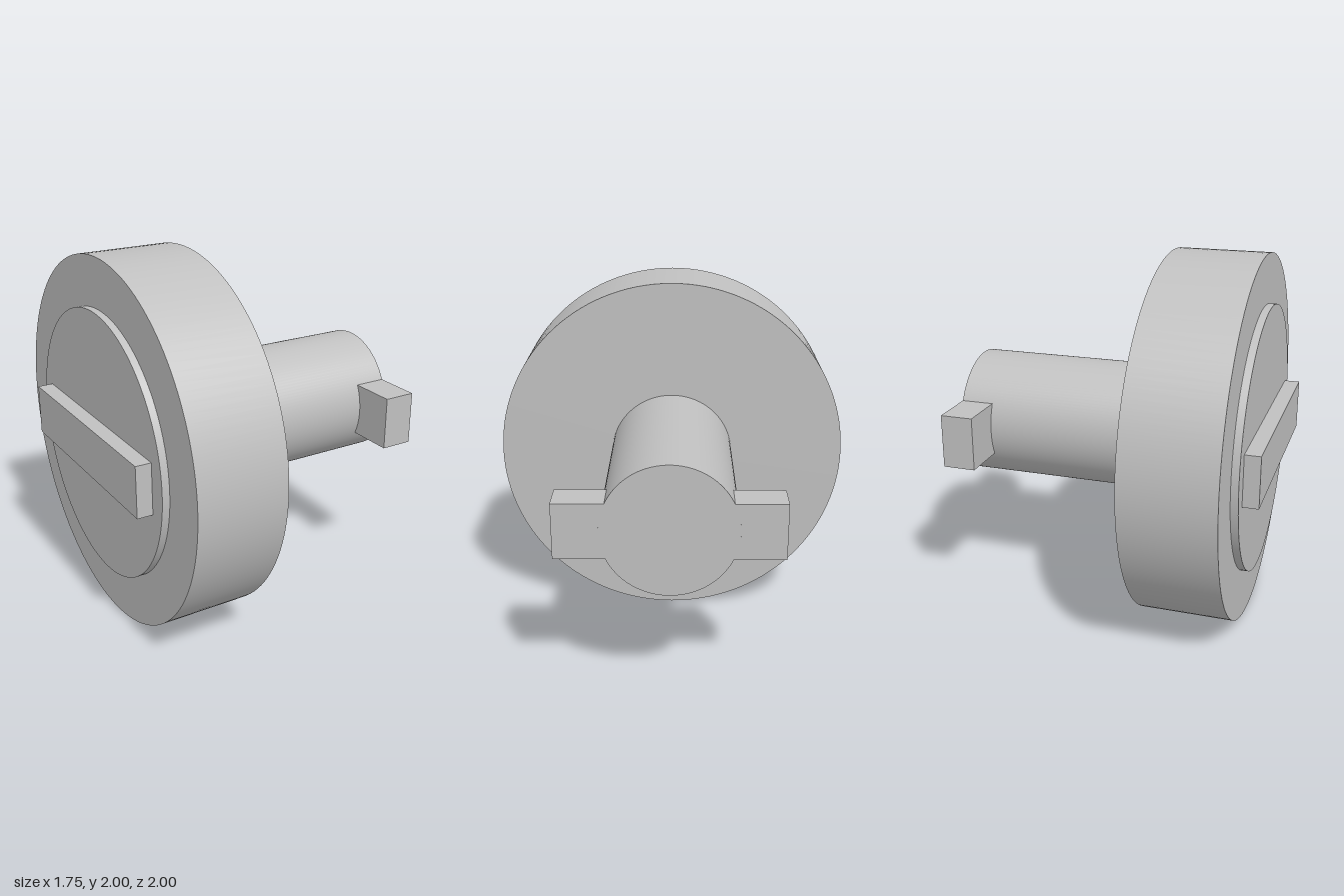
import * as THREE from 'three';

export function createModel() {
  const model = new THREE.Group();
  const metal = new THREE.MeshStandardMaterial({ color: 0xc0c0c0 });
  metal.name = 'light grey metal';

  const add = (name, geometry) => {
    const mesh = new THREE.Mesh(geometry, metal);
    mesh.name = name;
    model.add(mesh);
  };

  // Solid disc lying along the x axis, centred on the shaft line y = 1
  const disc = (name, radius, x0, x1) => add(name,
    new THREE.CylinderGeometry(radius, radius, x1 - x0, 128)
      .rotateZ(-Math.PI / 2)
      .translate((x0 + x1) / 2, 1, 0));

  const shaftRadius = 0.35;
  disc('flange', 1, -0.75, -0.25);
  disc('raisedFace', 0.73, -0.79, -0.75);
  disc('shaft', shaftRadius, -0.25, 0.87);

  // Straight grip bar across the raised face
  add('gripBar', new THREE.BoxGeometry(0.085, 0.28, 1.25).translate(-0.8325, 1, 0));

  // Two lugs at the shaft end, their inner edge curved to fit the shaft
  const half = 0.148, reach = 0.58;
  const angle = Math.asin(half / shaftRadius);
  const outline = new THREE.Shape();
  outline.moveTo(shaftRadius * Math.cos(angle), -half);
  outline.lineTo(reach, -half);
  outline.lineTo(reach, half);
  outline.lineTo(shaftRadius * Math.cos(angle), half);
  outline.absarc(0, 0, shaftRadius, angle, -angle, true);
  for (const [name, turn] of [['backLug', 0], ['frontLug', Math.PI]]) {
    add(name, new THREE.ExtrudeGeometry(outline, { depth: 0.18, bevelEnabled: false, curveSegments: 12 })
      .rotateY(Math.PI / 2)
      .rotateX(turn)
      .translate(0.69, 1, 0));
  }

  return model;
}
